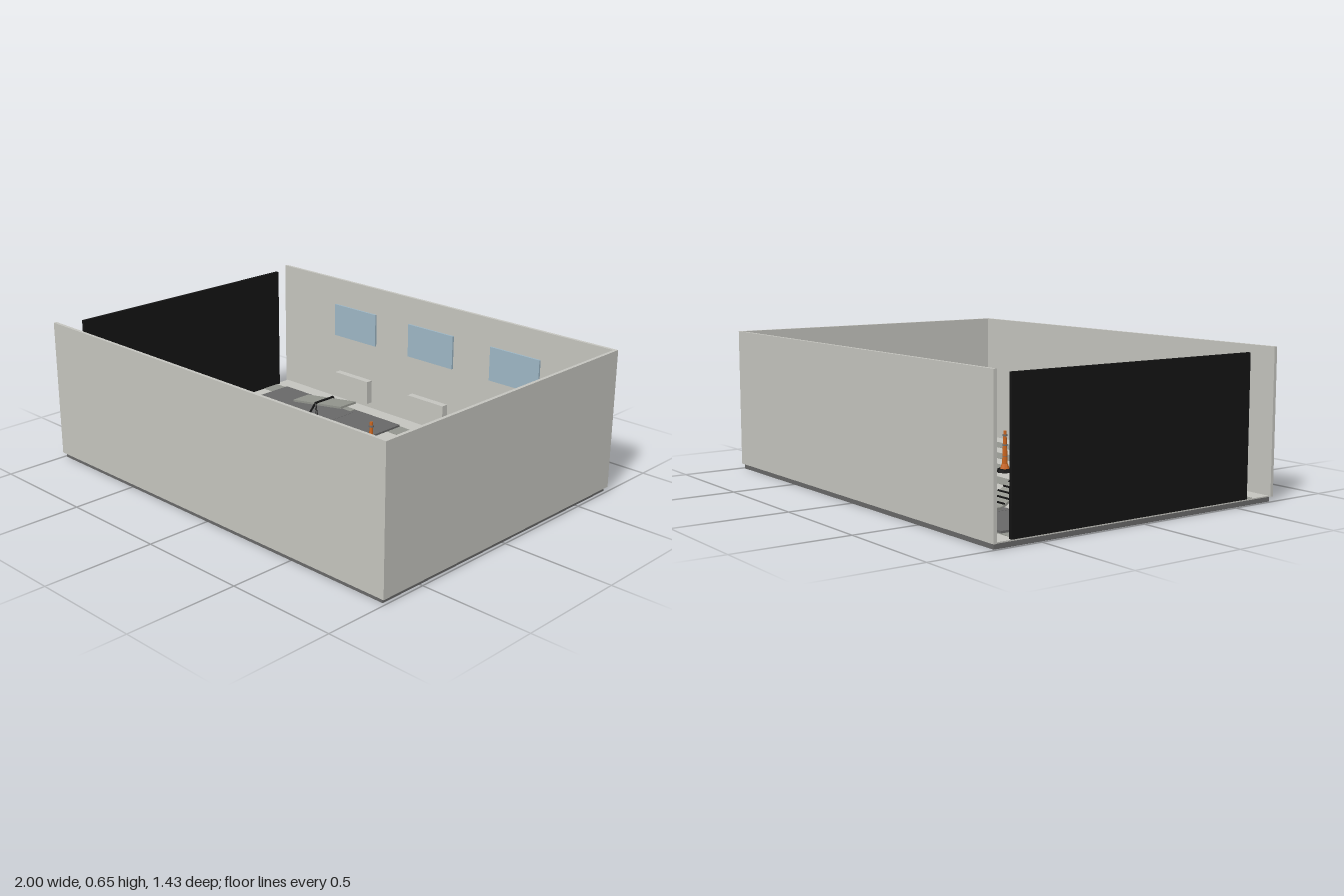
import * as THREE from 'three';

export function createModel() {
  const model = new THREE.Group();
  const paint = (name, color) => {
    const m = new THREE.MeshStandardMaterial({ color, flatShading: true });
    m.name = name;
    return m;
  };
  const wall = paint('pale wall grey', 0xc4c4be);
  const stripe = paint('floor stripe grey', 0x92948d);
  const mat = paint('dark mat grey', 0x686868);
  const black = paint('black', 0x141414);
  const orange = paint('orange', 0xc8641e);
  const glass = paint('window blue', 0x9db6c4);

  const add = (parent, name, geometry, material) => {
    const mesh = new THREE.Mesh(geometry, material);
    mesh.name = name;
    parent.add(mesh);
    return mesh;
  };
  // Box given by its limits on each axis
  const box = (name, x0, x1, y0, y1, z0, z1, material, parent = model) => {
    const m = add(parent, name, new THREE.BoxGeometry(x1 - x0, y1 - y0, z1 - z0), material);
    m.position.set((x0 + x1) / 2, (y0 + y1) / 2, (z0 + z1) / 2);
    return m;
  };
  const group = (name, x = 0, y = 0, z = 0) => {
    const g = new THREE.Group();
    g.name = name;
    g.position.set(x, y, z);
    model.add(g);
    return g;
  };
  // Thin round bar between two points
  const rod = (parent, name, a, b, r, material) => {
    const p = new THREE.Vector3(...a), q = new THREE.Vector3(...b), d = q.clone().sub(p);
    const m = add(parent, name, new THREE.CylinderGeometry(r, r, d.length(), 6), material);
    m.position.copy(p).add(q).multiplyScalar(0.5);
    m.quaternion.setFromUnitVectors(new THREE.Vector3(0, 1, 0), d.normalize());
  };

  // Floor slab and stripes
  box('floorSlab', -0.99, 0.985, 0, 0.02, -0.71, 0.705, mat);
  box('floor', -0.99, 0.985, 0.02, 0.025, -0.705, 0.705, wall);
  for (let i = 0; i < 7; i++) {
    const z = -0.565 + i * 0.188;
    box('floorStripe', -0.985, 0.985, 0.025, 0.027, z - 0.046, z + 0.046, stripe);
  }

  // Walls and end curtain
  box('frontWall', -1, 1, 0.022, 0.645, 0.702, 0.717, wall);
  box('backWall', -1, 1, 0.022, 0.645, -0.717, -0.702, wall);
  box('sideWall', 0.985, 1, 0.022, 0.645, -0.702, 0.702, wall);
  box('endPanel', -0.99, -0.975, 0.025, 0.628, -0.63, 0.573, black);

  // Windows with a heater below each one
  for (const x of [-0.495, -0.008, 0.485]) {
    box('window', x - 0.137, x + 0.137, 0.355, 0.515, -0.702, -0.693, glass);
    box('heater', x - 0.11, x + 0.11, 0.055, 0.17, -0.702, -0.668, wall);
  }

  // Padded mats
  box('seesawMat', -0.895, -0.11, 0.027, 0.036, -0.607, -0.365, mat);
  box('walkMat', -0.895, -0.11, 0.027, 0.036, 0.315, 0.545, mat);
  box('sideWalkMat', 0.385, 0.625, 0.027, 0.036, -0.6, -0.01, mat);
  box('frameMatFront', -0.62, -0.385, 0.027, 0.037, 0.08, 0.293, mat);
  box('frameMatBack', -0.62, -0.385, 0.027, 0.037, -0.57, -0.352, mat);
  box('matInset', -0.605, -0.405, 0.036, 0.038, -0.605, -0.57, stripe);

  // Sloping plank along local x, with cross slats
  const plank = (parent, name, x0, y0, x1, y1, width, slats) => {
    const g = new THREE.Group();
    g.name = name;
    g.position.set((x0 + x1) / 2, (y0 + y1) / 2, 0);
    g.rotation.z = Math.atan2(y1 - y0, x1 - x0);
    parent.add(g);
    const len = Math.hypot(x1 - x0, y1 - y0);
    add(g, 'board', new THREE.BoxGeometry(len, 0.01, width), stripe);
    for (let i = 0; i < slats; i++) {
      const s = add(g, 'slat', new THREE.BoxGeometry(0.006, 0.006, width), black);
      s.position.set(((i + 0.5) / slats - 0.5) * len, 0.007, 0);
    }
  };

  // Climbing frame with two slopes
  const frame = group('climbingFrame', -0.503, 0, -0.137);
  frame.rotation.y = Math.PI / 2;
  plank(frame, 'slope', -0.215, 0.033, 0, 0.155, 0.115, 8);
  plank(frame, 'slope', 0, 0.155, 0.215, 0.033, 0.115, 8);

  // Raised walks: ramp, level board, ramp
  const walk = (name, x, z, half, inner, width, turn) => {
    const g = group(name, x, 0, z);
    g.rotation.y = turn;
    plank(g, 'ramp', -half, 0.042, -inner, 0.135, width, 6);
    plank(g, 'level', -inner, 0.135, inner, 0.135, width, 0);
    plank(g, 'ramp', inner, 0.135, half, 0.042, width, 6);
    for (const sx of [-1, 1]) {
      for (const sz of [-1, 1]) {
        rod(g, 'leg', [sx * inner * 0.95, 0.035, sz * width * 0.42],
          [sx * inner * 0.95, 0.132, sz * width * 0.42], 0.005, black);
      }
    }
  };
  walk('frontWalk', -0.503, 0.43, 0.385, 0.17, 0.105, 0);
  walk('sideWalk', 0.503, -0.295, 0.275, 0.1, 0.115, Math.PI / 2);

  // Seesaw board on a pivot with splayed feet
  const seesaw = group('seesaw', -0.505, 0, -0.488);
  plank(seesaw, 'board', -0.165, 0.06, 0.165, 0.108, 0.105, 0);
  rod(seesaw, 'pivotBar', [0, 0.092, -0.062], [0, 0.092, 0.062], 0.007, black);
  for (const s of [-1, 1]) {
    for (const dx of [-0.025, 0.025]) {
      rod(seesaw, 'foot', [0, 0.092, s * 0.062], [dx, 0.038, s * 0.075], 0.005, black);
    }
  }

  // Weave posts on round bases
  for (let i = 0; i < 6; i++) {
    const g = group('weavePost', 0.08, 0, -0.2 + i * 0.169);
    const part = (name, r0, r1, y0, y1, m) => {
      add(g, name, new THREE.CylinderGeometry(r1, r0, y1 - y0, 8), m).position.y = (y0 + y1) / 2;
    };
    part('base', 0.037, 0.034, 0.026, 0.042, black);
    part('collar', 0.022, 0.014, 0.042, 0.065, orange);
    part('pole', 0.013, 0.007, 0.065, 0.215, orange);
    for (const y of [0.1, 0.15, 0.195]) part('band', 0.012, 0.011, y - 0.004, y + 0.004, mat);
  }

  // Small three-legged markers
  for (const [x, z, turn] of [[-0.36, 0.565, 0], [0.18, 0.57, 0], [0.37, -0.577, Math.PI]]) {
    const g = group('floorMarker', x, 0, z);
    g.rotation.y = turn;
    const long = turn ? -0.01 : -0.05;
    rod(g, 'leg', [0, 0.055, 0], [long, 0.029, 0], 0.005, black);
    for (const s of [-1, 1]) rod(g, 'leg', [0, 0.055, 0], [0.025, 0.029, s * 0.024], 0.005, black);
  }

  // Corner bench with a blue box
  box('benchSeat', 0.63, 0.84, 0.075, 0.1, -0.685, -0.66, orange);
  box('benchStep', 0.645, 0.705, 0.027, 0.075, -0.672, -0.638, orange);
  box('benchLeg', 0.8, 0.83, 0.027, 0.075, -0.683, -0.662, orange);
  box('storageBox', 0.572, 0.635, 0.027, 0.11, -0.686, -0.64, glass);

  return model;
}
